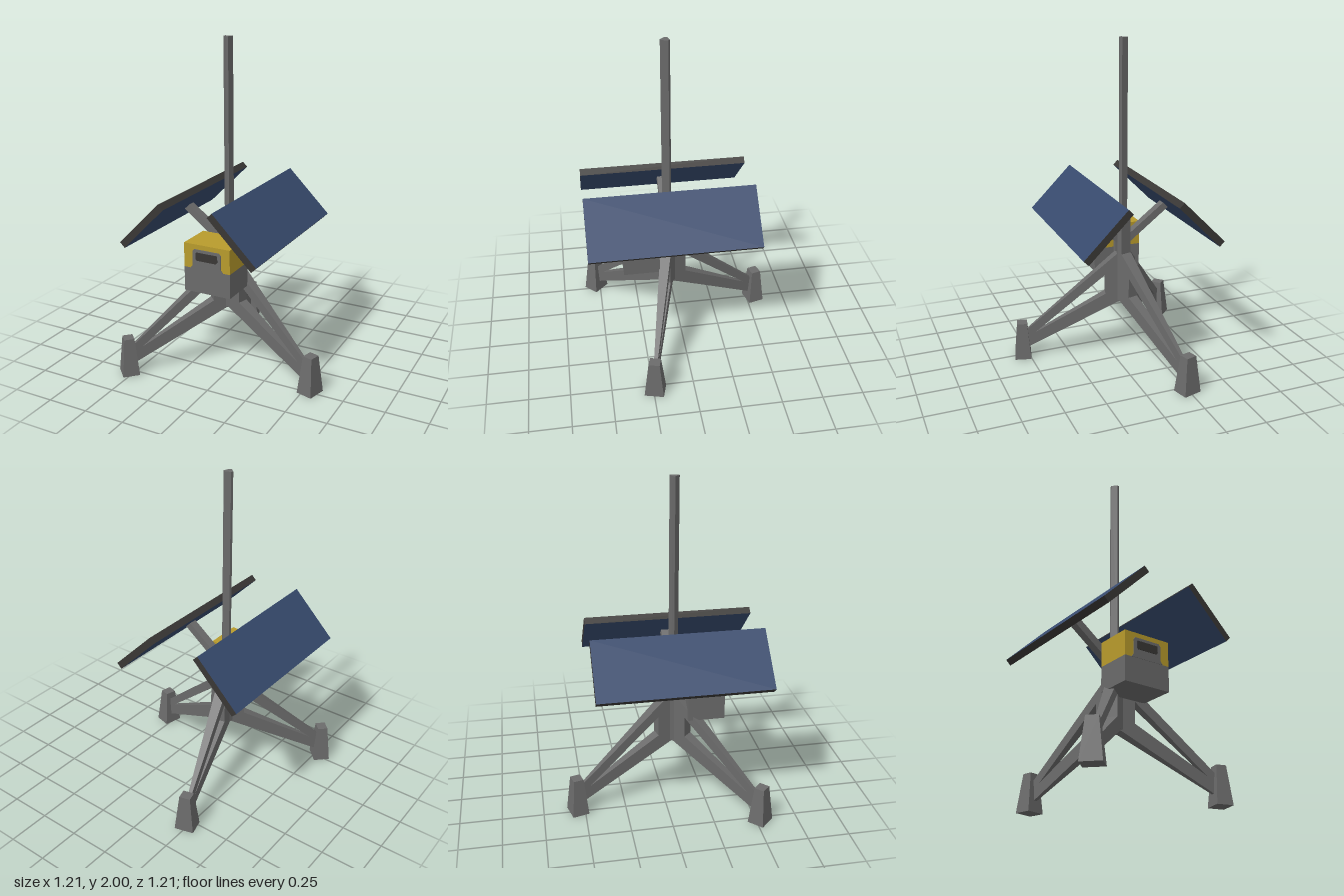
import * as THREE from 'three';

const material = (name, color, extra = {}) => {
  const m = new THREE.MeshStandardMaterial({ color, flatShading: true, ...extra });
  m.name = name;
  return m;
};

const shapeFrom = (points) => new THREE.Shape(points.map(([x, y]) => new THREE.Vector2(x, y)));

const CX = -0.077, CZ = 0.074;                 // mast axis
const LEG_ANGLES = [15, 135, 255].map(THREE.MathUtils.degToRad);

export function createModel() {
  const grey = material('frame grey', 0x6b6b6b);
  const yellow = material('box yellow', 0xb89b2c);
  const blue = material('panel blue', 0x374a6d);
  const dark = material('dark trim', 0x393735);

  const model = new THREE.Group();
  model.name = 'solarMastStation';

  const add = (parent, name, geometry, mat, x = 0, y = 0, z = 0) => {
    const mesh = new THREE.Mesh(geometry, mat);
    mesh.name = name;
    mesh.position.set(x, y, z);
    parent.add(mesh);
    return mesh;
  };

  // Six-sided post: a triangle with cut corners, wide sides facing the legs
  const post = (radius, y0, y1) => {
    const points = LEG_ANGLES.flatMap((a) => [a - Math.PI / 4, a + Math.PI / 4])
      .map((a) => [radius * Math.cos(a), -radius * Math.sin(a)])
      .reverse();
    const g = new THREE.ExtrudeGeometry(shapeFrom(points), { depth: y1 - y0, bevelEnabled: false });
    g.rotateX(-Math.PI / 2);
    g.translate(0, y0, 0);
    return g;
  };

  const tripod = new THREE.Group();
  tripod.name = 'tripod';
  tripod.position.set(CX, 0, CZ);
  model.add(tripod);
  add(tripod, 'column', post(0.051, 0.37, 0.915), grey);
  add(tripod, 'mast', post(0.029, 0.9, 2), grey);

  // Leg: side outline with a triangular opening, thinning towards the foot
  const legShape = shapeFrom([[0, 0.365], [0.03, 0.36], [0.62, 0.055], [0.62, 0.175], [0.04, 0.68], [0, 0.68]]);
  legShape.holes.push(new THREE.Path(
    [[0.11, 0.415], [0.11, 0.545], [0.555, 0.165]].map(([x, y]) => new THREE.Vector2(x, y))));
  const legGeometry = new THREE.ExtrudeGeometry(legShape, { depth: 1, bevelEnabled: false });
  const lp = legGeometry.attributes.position;
  for (let i = 0; i < lp.count; i++) {
    lp.setZ(i, (lp.getZ(i) - 0.5) * (0.076 - 0.09 * lp.getX(i)));
  }
  legGeometry.computeVertexNormals();

  // Foot: block that narrows upwards
  const footGeometry = new THREE.BoxGeometry(0.102, 0.233, 0.118);
  const fp = footGeometry.attributes.position;
  for (let i = 0; i < fp.count; i++) {
    if (fp.getY(i) > 0) {
      fp.setX(i, fp.getX(i) * 0.6);
      fp.setZ(i, fp.getZ(i) * 0.57);
    }
  }
  footGeometry.computeVertexNormals();

  for (const angle of LEG_ANGLES) {
    const leg = new THREE.Group();
    leg.name = 'legAssembly';
    leg.rotation.y = -angle;
    tripod.add(leg);
    add(leg, 'leg', legGeometry, grey);
    add(leg, 'foot', footGeometry, grey, 0.638, 0.1165, 0);
  }

  // Solar panels on slanted arms, one each side
  for (const side of [1, -1]) {
    const wing = new THREE.Group();
    wing.name = side > 0 ? 'leftSolarWing' : 'rightSolarWing';
    wing.position.set(CX, 0, CZ);
    model.add(wing);

    const panel = add(wing, 'solarPanel', new THREE.BoxGeometry(0.374, 0.042, 1.018),
      [dark, dark, blue, blue, dark, dark], side * 0.286, 0.984, 0);
    panel.rotation.z = -side * Math.PI / 4;

    const start = new THREE.Vector2(0, 0.75), end = new THREE.Vector2(0.28, 0.965);
    const arm = add(wing, 'panelArm', new THREE.BoxGeometry(start.distanceTo(end), 0.045, 0.052), grey,
      side * (start.x + end.x) / 2, (start.y + end.y) / 2, 0);
    arm.rotation.z = side * Math.atan2(end.y - start.y, end.x - start.x);
  }

  // Equipment box: grey base, yellow cover
  const box = new THREE.Group();
  box.name = 'equipmentBox';
  box.position.set(-0.068, 0, 0.254);
  model.add(box);
  add(box, 'boxBase', new THREE.BoxGeometry(0.3, 0.15, 0.222), grey, 0, 0.62, 0);
  add(box, 'boxCover', new THREE.BoxGeometry(0.3, 0.148, 0.222), yellow, 0, 0.769, 0);
  add(box, 'boxBracket', new THREE.BoxGeometry(0.05, 0.12, 0.05), grey, 0, 0.7, -0.125);

  // Front plate with splayed lower corners, and the slot on it
  const plate = (name, points, z, mat) => add(box, name, new THREE.ExtrudeGeometry(
    shapeFrom([...points, ...points.map(([x, y]) => [-x, y]).reverse()]),
    { depth: 0.004, bevelEnabled: false }), mat, 0, 0, z);
  plate('frontPlate', [[0.107, 0.695], [0.093, 0.713], [0.093, 0.8], [0.081, 0.814]], 0.11, grey);
  plate('frontSlot', [[0.063, 0.746], [0.071, 0.756], [0.071, 0.792], [0.067, 0.796]], 0.113, dark);

  return model;
}
